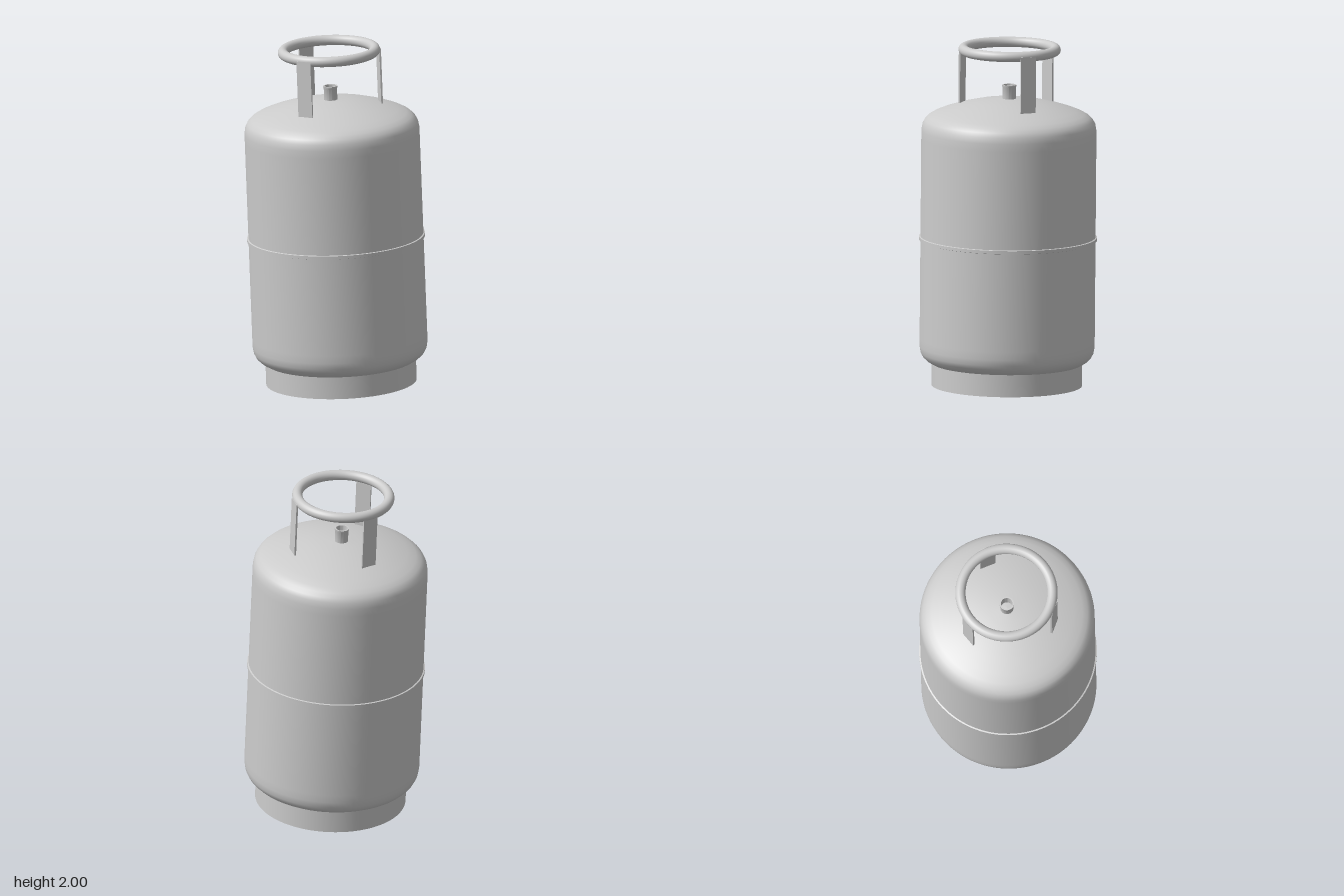
import * as THREE from 'three';
import { toCreasedNormals } from 'three/addons/utils/BufferGeometryUtils.js';

const material = new THREE.MeshStandardMaterial({ color: 0xcccccc, side: THREE.DoubleSide });

function addMesh(parent, name, geometry) {
  const mesh = new THREE.Mesh(geometry, material);
  mesh.name = name;
  parent.add(mesh);
  return mesh;
}

// Revolve [radius, height] pairs, listed so the outside faces outward
function lathe(points, segments = 96) {
  return new THREE.LatheGeometry(points.map(([r, y]) => new THREE.Vector2(r, y)), segments);
}

export function createModel() {
  const model = new THREE.Group();
  model.name = 'gasCylinder';

  // Whole cylinder leans slightly
  const tilted = new THREE.Group();
  tilted.name = 'leaningCylinder';
  tilted.position.set(0.028, 0.0175, 0.01);
  tilted.quaternion.setFromUnitVectors(
    new THREE.Vector3(0, 1, 0),
    new THREE.Vector3(-0.0375, 1, -0.0135).normalize()
  );
  model.add(tilted);

  // Pressure vessel: shallow domes with tight shoulders, as [radius, depth from the apex]
  const dome = [
    [0, 0], [0.1, 0.005], [0.2, 0.019], [0.3, 0.043], [0.38, 0.068], [0.43, 0.088],
    [0.46, 0.105], [0.481, 0.125], [0.494, 0.15], [0.5, 0.185]
  ];
  const bottom = dome.map(([r, d]) => [r, 0.04 + d]);
  const top = dome.map(([r, d]) => [r, 1.66 - d]).reverse();
  addMesh(tilted, 'vessel', lathe([...bottom, [0.5, 0.27], [0.5, 1.43], ...top]));

  // Weld band around the middle
  addMesh(tilted, 'weldBand', toCreasedNormals(lathe([
    [0.498, 0.838], [0.508, 0.841], [0.508, 0.859], [0.498, 0.862]
  ]), 0.6));

  // Foot ring, open underneath
  addMesh(tilted, 'footRing', toCreasedNormals(lathe([
    [0.412, 0.16], [0.412, 0], [0.43, 0], [0.43, 0.16]
  ]), 0.6));

  // Hollow valve stub
  addMesh(tilted, 'valve', toCreasedNormals(lathe([
    [0.038, 1.64], [0.038, 1.725], [0.041, 1.73], [0.041, 1.738], [0.033, 1.738], [0.033, 1.655]
  ], 40), 0.6));

  // Handle ring
  const handle = addMesh(tilted, 'handleRing', new THREE.TorusGeometry(0.263, 0.0295, 20, 80));
  handle.rotation.x = Math.PI / 2;
  handle.position.y = 1.942;

  // Flat uprights carrying the handle: [angle in degrees, radius]
  [[-14, 0.289], [118, 0.287], [239.5, 0.28]].forEach(([degrees, radius]) => {
    const a = THREE.MathUtils.degToRad(degrees);
    const post = addMesh(tilted, 'handlePost', new THREE.BoxGeometry(0.01, 0.335, 0.092));
    post.position.set(radius * Math.cos(a), 1.775, radius * Math.sin(a));
    post.rotation.y = -a;
  });

  return model;
}
